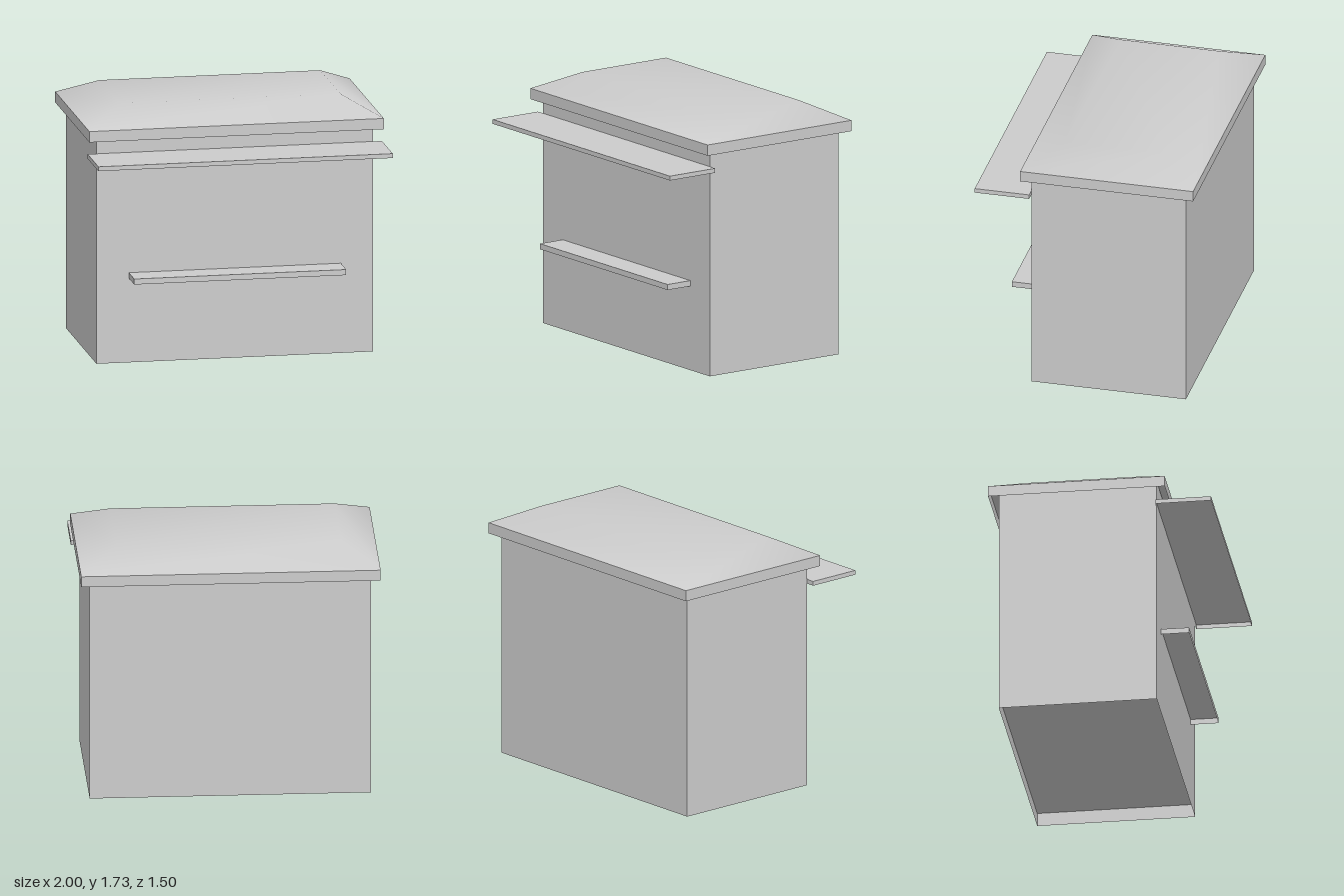
import * as THREE from 'three';

export function createModel() {
  const model = new THREE.Group();
  const grey = new THREE.MeshStandardMaterial({ color: 0xcccccc, side: THREE.DoubleSide });
  grey.name = 'light grey';

  const add = (name, geometry) => {
    const mesh = new THREE.Mesh(geometry, grey);
    mesh.name = name;
    model.add(mesh);
    return mesh;
  };

  // Thin-walled box without an underside, given by its extents
  const openBox = (name, halfX, y0, y1, z0, z1) => {
    const g = new THREE.BoxGeometry(2 * halfX, y1 - y0, z1 - z0);
    const index = Array.from(g.index.array);
    index.splice(18, 6); // bottom face
    g.setIndex(index);
    g.clearGroups();
    g.translate(0, (y0 + y1) / 2, (z0 + z1) / 2);
    return add(name, g);
  };

  // Kiosk body, with a floor raised inside the walls
  openBox('body', 0.94, 0, 1.6, -0.686, 0.376);
  const floor = new THREE.PlaneGeometry(1.88, 1.062);
  floor.rotateX(Math.PI / 2);
  floor.translate(0, 0.092, -0.155);
  add('floor', floor);

  // Front awning and counter
  openBox('awning', 1, 1.408, 1.438, 0.376, 0.75);
  openBox('counter', 0.72, 0.576, 0.614, 0.376, 0.564);

  // Roof rim
  openBox('roofRim', 1, 1.533, 1.607, -0.75, 0.438);

  // Hipped roof cap: two rectangles joined, with softly shaded hips
  const ring = (x, y, z0, z1) => [-x, y, z1, x, y, z1, x, y, z0, -x, y, z0];
  const cap = new THREE.BufferGeometry();
  cap.setAttribute('position', new THREE.Float32BufferAttribute(
    [...ring(1, 1.607, -0.75, 0.438), ...ring(0.75, 1.732, -0.5, 0.19)], 3));
  const faces = [4, 5, 6, 4, 6, 7];
  for (let i = 0; i < 4; i++) {
    const j = (i + 1) % 4;
    faces.push(i, j, j + 4, i, j + 4, i + 4);
  }
  cap.setIndex(faces);
  cap.computeVertexNormals();
  add('roofCap', cap);

  return model;
}
